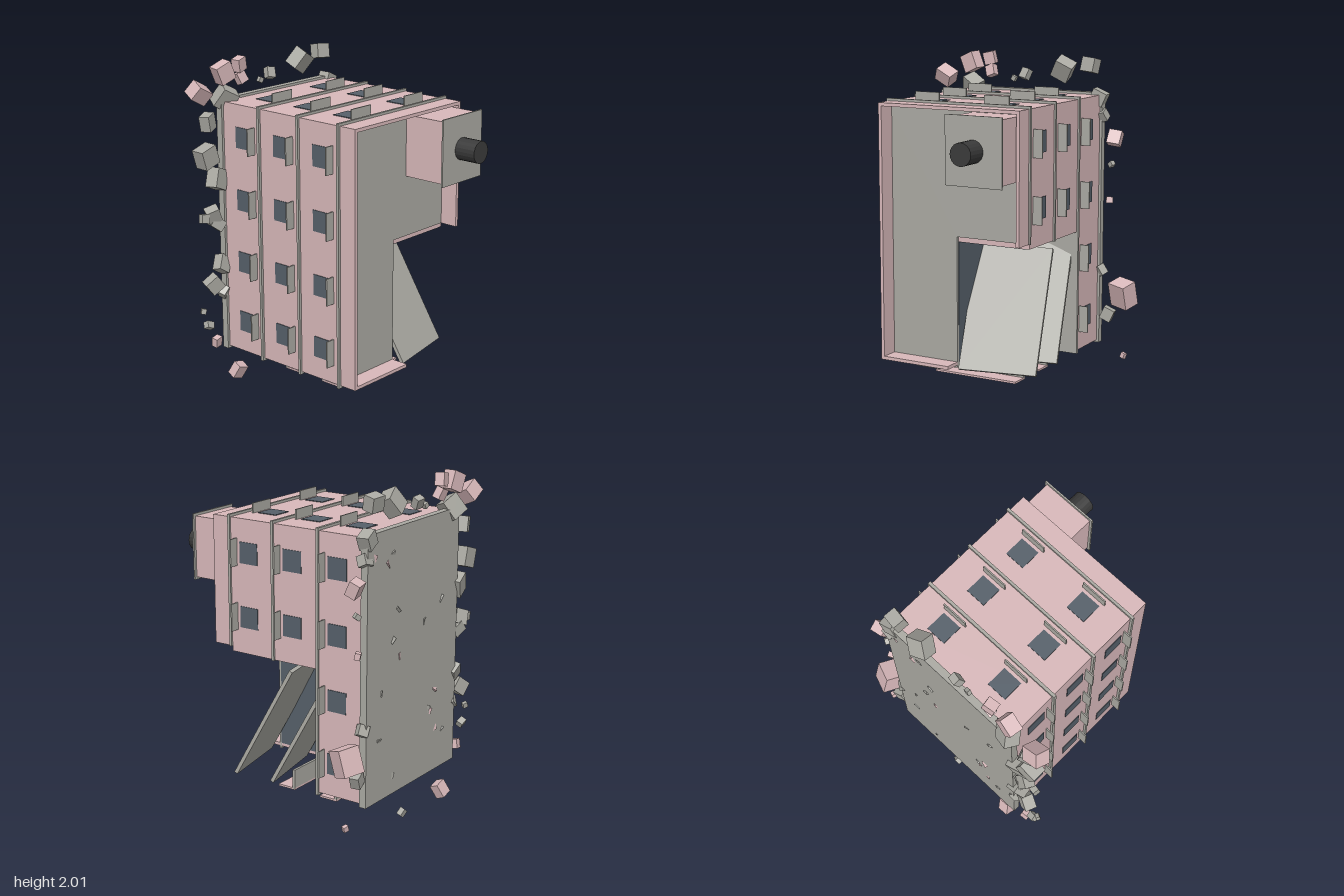
import * as THREE from 'three';

const mat = (color) => new THREE.MeshStandardMaterial({ color, flatShading: true });

export function createModel() {
  const root = new THREE.Group();
  const pink = mat(0xd8b8ba), grey = mat(0xaaa9a2), glass = mat(0x56606a), black = mat(0x3a3a3a);

  const add = (name, geo, m, parent = root) => {
    const mesh = new THREE.Mesh(geo, m);
    mesh.name = name;
    parent.add(mesh);
    return mesh;
  };
  // Box given by its minimum and maximum on each axis
  const box = (name, m, x0, x1, y0, y1, z0, z1, parent) => {
    const mesh = add(name, new THREE.BoxGeometry(x1 - x0, y1 - y0, z1 - z0), m, parent);
    mesh.position.set((x0 + x1) / 2, (y0 + y1) / 2, (z0 + z1) / 2);
    return mesh;
  };
  // Rectangle with its lower right corner missing, extruded along z
  const notched = (name, m, x0, x1, y0, y1, cutX, cutY, z0, z1) => {
    const pts = [[x0, y0], [cutX, y0], [cutX, cutY], [x1, cutY], [x1, y1], [x0, y1]];
    const shape = new THREE.Shape(pts.map(([x, y]) => new THREE.Vector2(x, y)));
    const geo = new THREE.ExtrudeGeometry(shape, { depth: z1 - z0, bevelEnabled: false });
    add(name, geo, m).position.z = z0;
  };

  // Main block of the toppled building, its roof facing +z
  const X0 = -0.47, X1 = 0.445, Y0 = 0.24, Y1 = 1.755, cutX = -0.015, cutY = 0.97;
  box('groundStorey', pink, X0, X1, Y0, Y1, -0.62, -0.325);
  notched('upperStoreys', pink, X0, X1, Y0, Y1, cutX, cutY, -0.325, 0.275);
  box('foundationSlab', grey, -0.485, 0.46, 0.225, 1.77, -0.66, -0.617);

  // Floor bands around each storey
  box('floorBand', grey, -0.485, 0.455, 0.225, 1.77, -0.335, -0.317);
  notched('floorBand', grey, -0.485, 0.455, 0.225, 1.77, cutX + 0.004, cutY - 0.004, -0.028, -0.012);
  notched('roofSlab', grey, -0.485, 0.455, 0.225, 1.77, cutX, 1.0, 0.275, 0.291);

  // Dark inside of the broken corner
  box('brokenInnerWall', glass, cutX - 0.004, cutX + 0.002, 0.26, cutY, -0.317, 0.275);
  box('brokenCeiling', glass, cutX, X1 - 0.02, cutY - 0.002, cutY + 0.004, -0.317, 0.275);

  // Parapet around the roof, open at the broken corner
  const t = 0.02, pz0 = 0.285, pz1 = 0.4;
  const parapet = new THREE.Group();
  parapet.name = 'parapet';
  root.add(parapet);
  box('parapetLeftEdge', pink, X0, X0 + t, Y0, Y1, pz0, pz1, parapet);
  box('parapetTopEdge', pink, X0, X1, Y1 - t, Y1, pz0, pz1, parapet);
  box('parapetRightEdge', pink, X1 - t, X1, 1.0, Y1, pz0, pz1, parapet);
  box('parapetBottomEdge', pink, X0, cutX, Y0, Y0 + t, pz0, pz1, parapet);

  // Roof house with cap and chimney pipe
  box('roofHouse', pink, 0.09, 0.415, 1.36, 1.72, 0.285, 0.56);
  box('roofHouseCap', grey, 0.075, 0.43, 1.345, 1.735, 0.558, 0.568);
  const pipe = add('chimneyPipe', new THREE.CylinderGeometry(0.065, 0.065, 0.14, 20), black);
  pipe.rotation.x = Math.PI / 2;
  pipe.position.set(0.25, 1.54, 0.63);

  // Windows with thin sills on all four walls
  const storeys = [-0.455, -0.153, 0.15], h = 0.062, s = 0.08;
  for (const z of storeys) {
    const sill = z + 0.086;
    for (const y of [0.43, 0.805, 1.185, 1.56]) {
      for (const side of [-1, 1]) {
        if (side > 0 && y < 1 && z > -0.3) continue;
        const x = side > 0 ? X1 : X0;
        box('sideWindow', glass, x - 0.004, x + 0.004, y - h, y + h, z - h, z + h);
        const a = x, b = x + side * 0.057;
        box('sideSill', grey, Math.min(a, b), Math.max(a, b), y - s, y + s, sill - 0.004, sill + 0.004);
      }
    }
    for (const x of [-0.24, 0.213]) {
      for (const side of [-1, 1]) {
        if (side < 0 && x > 0 && z > -0.3) continue;
        const y = side > 0 ? Y1 : Y0;
        box('wallWindow', glass, x - h, x + h, y - 0.004, y + 0.004, z - h, z + h);
        const a = y, b = y + side * 0.058;
        box('wallSill', grey, x - s, x + s, Math.min(a, b), Math.max(a, b), sill - 0.004, sill + 0.004);
      }
    }
  }
  box('entranceDoor', glass, -0.075, 0.05, Y0 - 0.004, Y0 + 0.004, -0.52, -0.39);

  // Balconies on the underside
  for (const z of [-0.318, -0.018]) {
    box('balconyFloor', grey, -0.285, 0.26, 0.12, Y0, z - 0.008, z + 0.008);
    box('balconyRail', pink, -0.285, 0.26, 0.115, 0.127, z - 0.008, z + 0.11);
  }

  // Two floor slabs hanging out of the broken corner
  const u = new THREE.Vector3(0.455, 0, -0.09), v = new THREE.Vector3(-0.075, 0.67, -0.35);
  const n = new THREE.Vector3().crossVectors(u, v).setLength(0.022);
  for (const [y, z] of [[0.232, 0.335], [0.24, 0.07]]) {
    const center = new THREE.Vector3(0.02, y, z).addScaledVector(u, 0.5).addScaledVector(v, 0.5);
    const geo = new THREE.BoxGeometry(1, 1, 1);
    geo.applyMatrix4(new THREE.Matrix4().makeBasis(u, v, n).setPosition(center));
    add('fallenFloorSlab', geo, grey);
  }

  // Rubble around the torn-off foundation: x, y, size
  let seed = 7;
  const rnd = () => (seed = (seed * 16807) % 2147483647) / 2147483647;
  const rubble = new THREE.Group();
  rubble.name = 'rubble';
  root.add(rubble);
  const chunk = (m, x, y, z, size) => {
    const c = add('rubbleChunk', new THREE.BoxGeometry(size, size * (0.8 + 0.4 * rnd()), size * 0.8), m, rubble);
    c.position.set(x, y, z);
    c.rotation.set(rnd() - 0.5, rnd() - 0.5, (rnd() - 0.5) * 1.6);
  };
  const pinkChunks = [
    [-0.64, 1.83, 0.11], [-0.45, 1.92, 0.1], [-0.32, 1.95, 0.07], [-0.31, 1.87, 0.06], [0.54, 1.5, 0.08],
    [0.61, 0.55, 0.13], [-0.56, 0.29, 0.05], [-0.39, 0.05, 0.075], [0.62, 0.16, 0.03], [0.51, 1.12, 0.04],
  ];
  const greyChunks = [
    [-0.44, 1.77, 0.11], [-0.15, 1.83, 0.03], [-0.07, 1.86, 0.055], [0.19, 1.9, 0.11], [0.37, 1.93, 0.09],
    [0.43, 1.74, 0.09], [-0.58, 1.65, 0.08], [-0.6, 1.45, 0.11], [-0.52, 1.3, 0.1], [-0.63, 1.08, 0.05],
    [-0.56, 1.09, 0.08], [-0.53, 1.03, 0.08], [-0.5, 0.77, 0.08], [-0.57, 0.66, 0.09], [-0.49, 0.59, 0.06],
    [-0.66, 0.51, 0.03], [-0.62, 0.41, 0.05], [0.51, 0.41, 0.07], [0.04, 0.05, 0.04], [0.52, 1.34, 0.035],
    [0.46, 0.68, 0.06], [0.45, 1.63, 0.07],
  ];
  for (const [x, y, d] of pinkChunks) chunk(pink, x, y, -0.635, d);
  for (const [x, y, d] of greyChunks) chunk(grey, x, y, -0.635, d);
  // Small shards poking through the underside of the foundation
  for (let i = 0; i < 16; i++) {
    chunk(i % 3 ? grey : pink, -0.42 + 0.82 * rnd(), 0.3 + 1.4 * rnd(), -0.644, 0.04);
  }
  return root;
}
